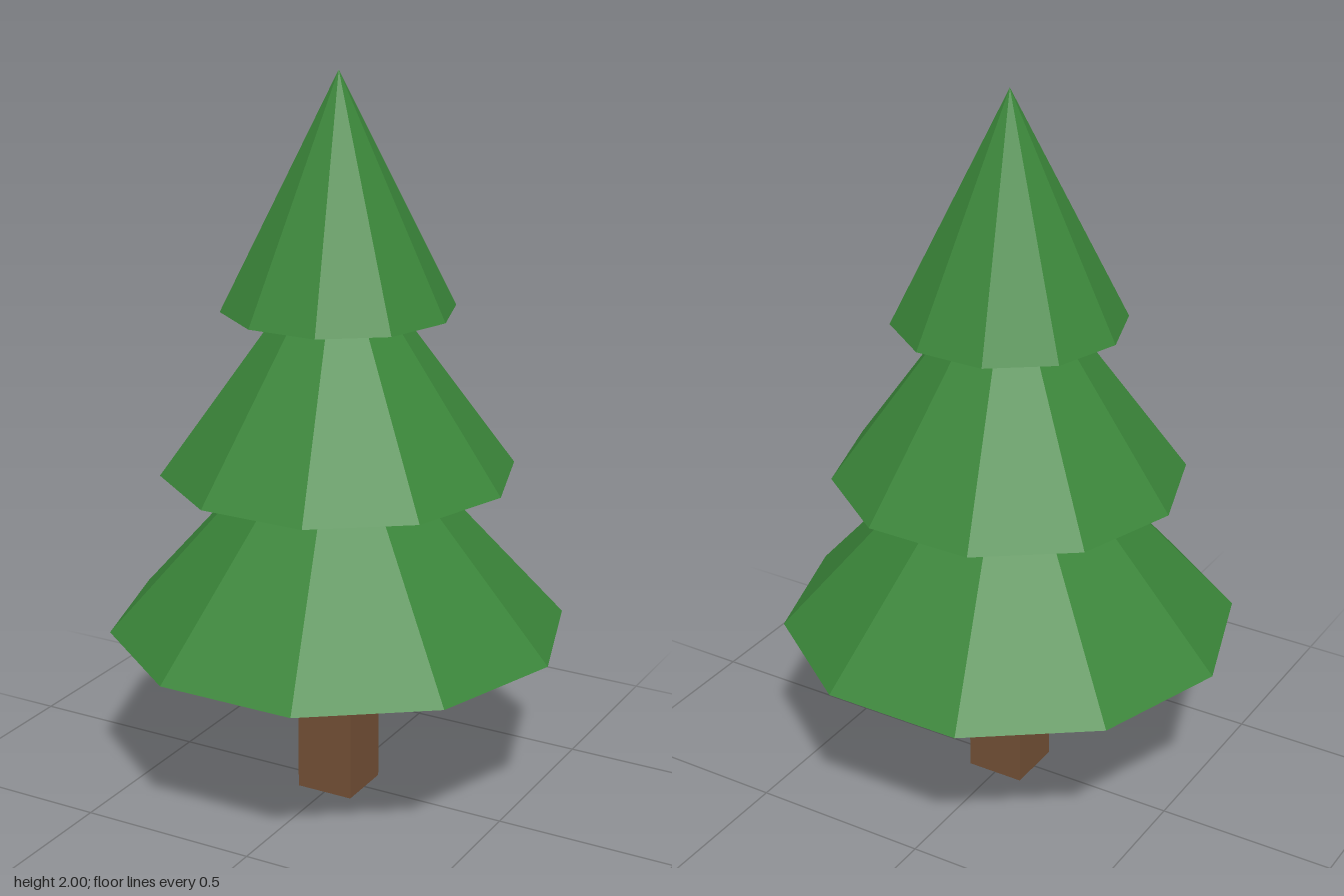
import * as THREE from 'three';

export function createModel() {
  const tree = new THREE.Group();
  tree.name = 'pineTree';

  const needles = new THREE.MeshStandardMaterial({ color: 0x3a8539, flatShading: true, side: THREE.DoubleSide });
  needles.name = 'needleGreen';
  const bark = new THREE.MeshStandardMaterial({ color: 0x724f35, flatShading: true });
  bark.name = 'barkBrown';

  // Square trunk, ending just inside the lowest tier
  const trunkHeight = 0.56;
  const trunk = new THREE.Mesh(new THREE.BoxGeometry(0.165, trunkHeight, 0.165), bark);
  trunk.name = 'trunk';
  trunk.position.y = trunkHeight / 2;
  tree.add(trunk);

  // Hollow ten-sided tiers of foliage with corners on the x axis
  const tiers = [
    { name: 'lowerFoliage', radius: 0.627, base: 0.485, height: 0.695 },
    { name: 'middleFoliage', radius: 0.48, base: 0.93, height: 0.66 },
    { name: 'upperFoliage', radius: 0.313, base: 1.375, height: 0.625 },
  ];
  for (const { name, radius, base, height } of tiers) {
    const tier = new THREE.Mesh(new THREE.ConeGeometry(radius, height, 10, 1, true, Math.PI / 2), needles);
    tier.name = name;
    tier.position.y = base + height / 2;
    tree.add(tier);
  }
  return tree;
}
